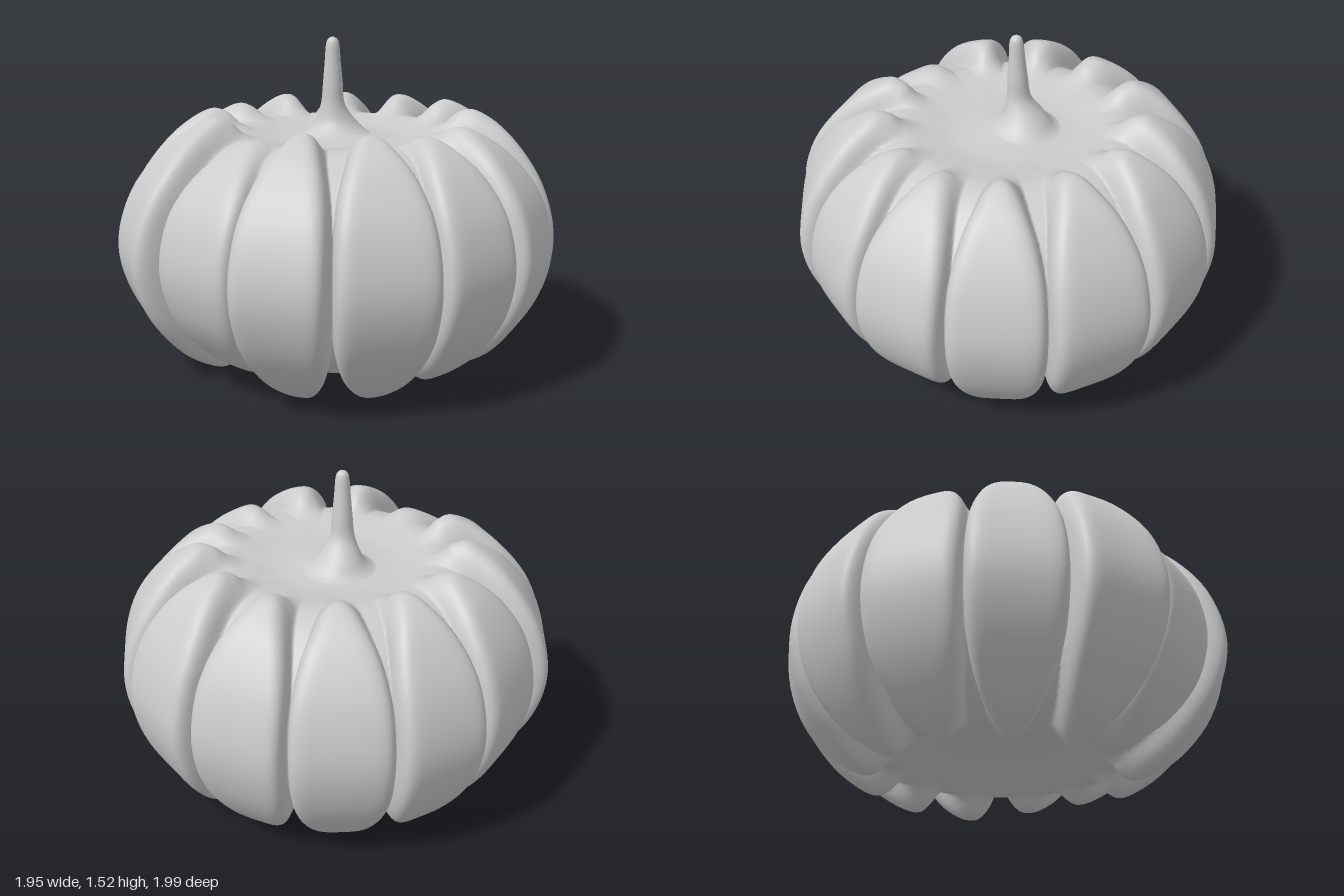
import * as THREE from 'three';

const material = new THREE.MeshStandardMaterial({ color: 0xcccccc });

// Smooth closed-around surface: point(i, j) for columns i (around) and rows j (bottom to top)
function loopSurface(name, cols, rows, point) {
  const positions = [], index = [];
  for (let j = 0; j <= rows; j++) {
    for (let i = 0; i < cols; i++) positions.push(...point(i, j));
  }
  for (let j = 0; j < rows; j++) {
    for (let i = 0; i < cols; i++) {
      const n = (i + 1) % cols;
      const a = j * cols + i, b = j * cols + n, c = a + cols, d = b + cols;
      index.push(a, c, b, b, c, d);
    }
  }
  const geometry = new THREE.BufferGeometry();
  geometry.setAttribute('position', new THREE.Float32BufferAttribute(positions, 3));
  geometry.setIndex(index);
  geometry.computeVertexNormals();
  const mesh = new THREE.Mesh(geometry, material);
  mesh.name = name;
  return mesh;
}

// Hollow under the body, from the centre outwards
const dish = [0.23, 0.22, 0.18, 0.125, 0.09];

// Profile [radius, y] given for the top half, mirrored below except for the hollow
function profile(top) {
  const bottom = top.slice(0, -1).map(([r, y], i) => [r, i < dish.length ? dish[i] : 1.17 - y]);
  const points = [...bottom, ...top.slice().reverse()];
  return new THREE.SplineCurve(points.map(([r, y]) => new THREE.Vector2(r, y)));
}

const groove = profile([[0, 1.09], [0.13, 1.062], [0.27, 1.052], [0.4, 1.07], [0.49, 1.08],
  [0.58, 1.06], [0.67, 1.005], [0.77, 0.91], [0.845, 0.77], [0.87, 0.58]]);
const crest = profile([[0, 1.09], [0.13, 1.062], [0.27, 1.052], [0.4, 1.07], [0.48, 1.105],
  [0.55, 1.16], [0.64, 1.165], [0.79, 1.055], [0.93, 0.84], [0.987, 0.58]]);

// Groove directions in degrees (from +x towards +z), then how far out and how high each rib swells
const grooveAngles = [-90, -61, -33, -6, 20, 49, 75, 103, 130, 157, 186, 213, 242, 270];
const swell = [1, 1, 0.97, 0.85, 1.03, 1.35, 0.8, 1.35, 1.15, 0.78, 0.95, 0.9, 0.9];
const lift = [1, 1, 0.75, 0.7, 0.95, 1, 0.5, 1, 1, 0.85, 0.95, 0.95, 0.95];

function createBody() {
  const ribs = swell.length, perRib = 36, rows = 108;
  return loopSurface('ribbedBody', ribs * perRib, rows, (i, j) => {
    const rib = Math.floor(i / perRib);
    const k = (i % perRib) / perRib * 2 - 1;
    // columns crowd towards the grooves
    const s = 0.35 * k + 0.65 * Math.sin(k * Math.PI / 2);
    const from = THREE.MathUtils.degToRad(grooveAngles[rib]);
    const to = THREE.MathUtils.degToRad(grooveAngles[rib + 1]);
    const half = (to - from) / 2;
    const angle = from + half * (s + 1);

    const f = groove.getPoint(j / rows), c = crest.getPoint(j / rows);
    // ribs are broad and square at the middle, narrow and domed at their ends
    const spread = THREE.MathUtils.smoothstep(c.x, 0.42, 0.985);
    const width = 0.55 + 0.44 * Math.sqrt(spread);
    const power = 2 + 6 * spread * spread;
    const edge = Math.min(1, Math.abs(s) / width);
    const bulge = Math.pow(1 - Math.pow(edge, power), 0.5 + 0.5 * (1 - spread));

    const flatFace = 1 / Math.cos(s * half);
    const r = f.x + bulge * swell[rib] * (c.x * flatFace - f.x);
    const y = f.y + bulge * lift[rib] * (c.y - f.y);
    return [r * Math.cos(angle), y, r * Math.sin(angle)];
  });
}

function createStem() {
  // centre path and radius, from the flared foot to the rounded tip
  const path = new THREE.CatmullRomCurve3([
    [-0.04, 1.035, -0.02], [-0.05, 1.065, -0.025], [-0.06, 1.115, -0.025], [-0.052, 1.2, 0],
    [-0.047, 1.3, 0.005], [-0.045, 1.4, 0.008], [-0.043, 1.475, 0.01], [-0.043, 1.503, 0.01],
    [-0.043, 1.515, 0.01],
  ].map((p) => new THREE.Vector3(...p)), false, 'catmullrom', 0.5);
  const radii = new THREE.SplineCurve([0.22, 0.15, 0.1, 0.056, 0.046, 0.037, 0.031, 0.021, 0]
    .map((r) => new THREE.Vector2(r, 0)));
  const cols = 32, rows = 48;
  return loopSurface('stem', cols, rows, (i, j) => {
    const p = path.getPoint(j / rows), r = Math.max(0, radii.getPoint(j / rows).x);
    const a = i / cols * Math.PI * 2;
    return [p.x + r * Math.cos(a), p.y, p.z + r * Math.sin(a)];
  });
}

export function createModel() {
  const group = new THREE.Group();
  group.name = 'pumpkin';
  group.add(createBody(), createStem());
  return group;
}
